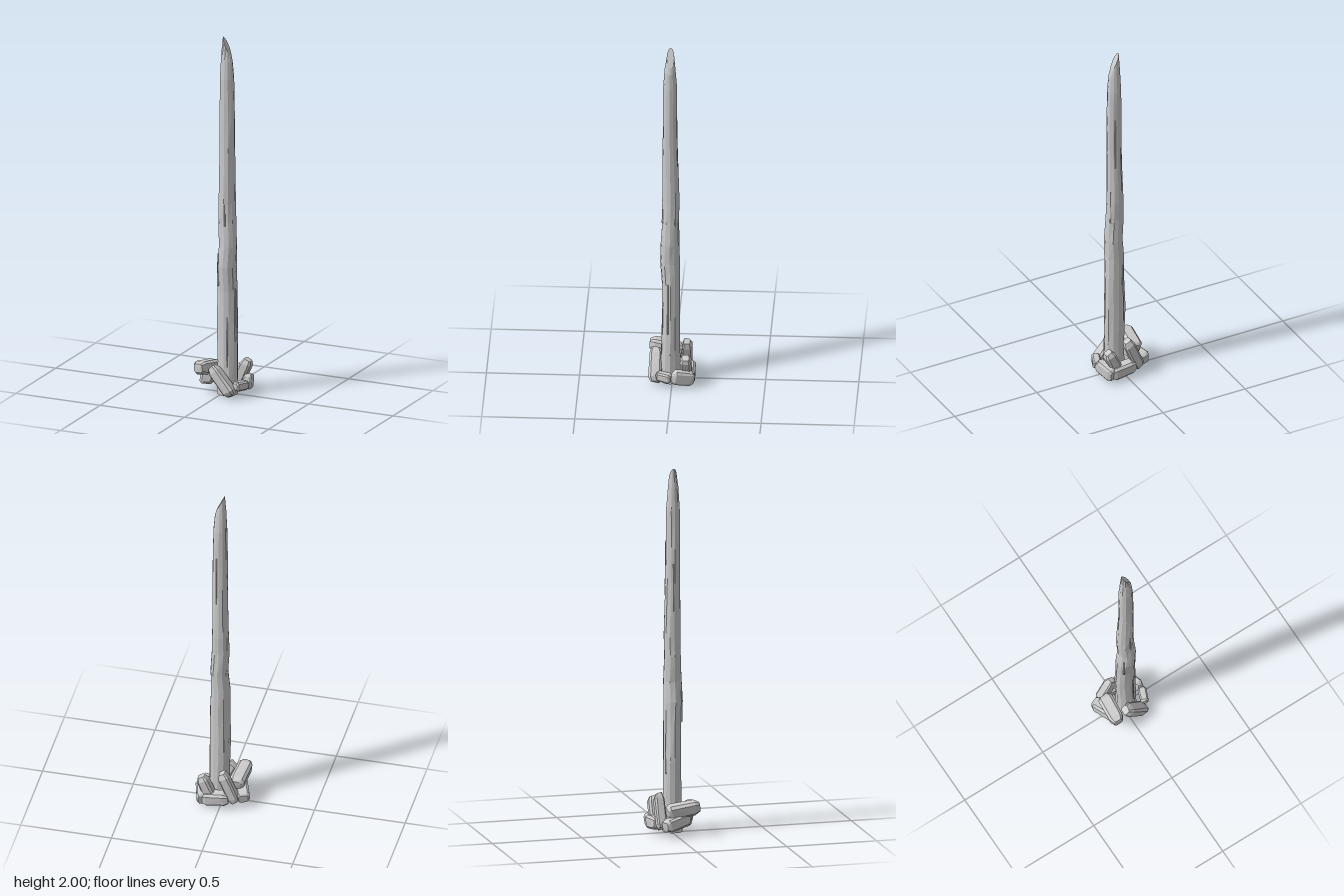
import * as THREE from 'three';
import { ConvexGeometry } from 'three/addons/geometries/ConvexGeometry.js';

const material = new THREE.MeshStandardMaterial({ color: 0xcccccc, flatShading: true });

function seeded(seed) {
  let s = seed * 7919 + 17;
  return () => (s = (s * 16807) % 2147483647) / 2147483647;
}

// Post rings: y, xMin, xMax, zMin, zMax, drop of the +x side (slanted cut)
const RINGS = [
  [0.0, -0.034, 0.082, -0.044, 0.067, 0],
  [0.18, -0.033, 0.082, -0.043, 0.062, 0],
  [0.4, -0.04, 0.08, -0.042, 0.056, 0],
  [0.58, -0.034, 0.078, -0.041, 0.058, 0],
  [0.72, -0.034, 0.074, -0.042, 0.069, 0],
  [0.83, -0.022, 0.077, -0.04, 0.064, 0],
  [0.97, -0.03, 0.07, -0.037, 0.055, 0],
  [1.08, -0.026, 0.066, -0.04, 0.055, 0],
  [1.38, -0.019, 0.066, -0.03, 0.054, 0],
  [1.55, -0.021, 0.066, -0.026, 0.052, 0],
  [1.77, -0.017, 0.061, -0.026, 0.052, 0],
  [1.91, -0.01, 0.053, -0.016, 0.042, 0.05],
  [2.0, -0.003, 0.044, -0.01, 0.031, 0.1],
];

// Weathered post lofted through irregular rings, with a slanted pointed top
function postGeometry(sides = 12) {
  const rnd = seeded(5), pos = [], index = [];
  RINGS.forEach(([y, x0, x1, z0, z1, drop], r) => {
    for (let i = 0; i < sides; i++) {
      const a = (i / sides) * Math.PI * 2;
      const k = r < RINGS.length - 2 ? 1 - 0.05 * rnd() : 1;
      const c = Math.cos(a), s = Math.sin(a);
      pos.push((x0 + x1) / 2 + c * k * (x1 - x0) / 2,
        y - drop * (1 + c) / 2,
        (z0 + z1) / 2 + s * k * (z1 - z0) / 2);
    }
  });
  for (let r = 0; r < RINGS.length - 1; r++) {
    for (let i = 0; i < sides; i++) {
      const a = r * sides + i, b = r * sides + (i + 1) % sides;
      index.push(a, a + sides, b, b, a + sides, b + sides);
    }
  }
  const top = (RINGS.length - 1) * sides;
  for (let i = 1; i < sides - 1; i++) {
    index.push(0, i, i + 1, top, top + i + 1, top + i);
  }
  const g = new THREE.BufferGeometry();
  g.setAttribute('position', new THREE.Float32BufferAttribute(pos, 3));
  g.setIndex(index);
  g.computeVertexNormals();
  return g;
}

// Chipped stone: octagonal block, long along y, with narrowed uneven ends
function rockGeometry(w, h, d, seed) {
  const rnd = seeded(seed), pts = [];
  for (const [t, k] of [[-0.5, 0.68], [-0.36, 1], [0.34, 0.96], [0.5, 0.62]]) {
    for (const [cx, cz] of [[-1, -1], [-1, 1], [1, -1], [1, 1]]) {
      const j = 0.86 + 0.14 * rnd();
      const y = (t + (rnd() - 0.5) * 0.07) * h;
      pts.push(new THREE.Vector3(cx * k * j * w / 2, y, cz * k * 0.62 * d / 2));
      pts.push(new THREE.Vector3(cx * k * 0.62 * w / 2, y, cz * k * j * d / 2));
    }
  }
  return new ConvexGeometry(pts);
}

// Stones around the foot: name, size, position, rotation
const ROCKS = [
  ['frontLeaningRock', [0.07, 0.19, 0.075], [0.027, 0.092, 0.09], [0, 0, 0.69]],
  ['rightUpperRock', [0.085, 0.175, 0.08], [-0.086, 0.14, 0.038], [1.38, 0.1, 0.12]],
  ['rightLowerRock', [0.08, 0.155, 0.075], [-0.098, 0.075, 0.002], [1.35, 0, -0.35]],
  ['leftSmallRock', [0.05, 0.085, 0.055], [0.115, 0.062, 0.042], [1.5, 0, 0.38]],
  ['leftBackRock', [0.055, 0.12, 0.085], [0.113, 0.06, -0.058], [1.35, 0, -0.28]],
  ['backLowerRock', [0.08, 0.14, 0.075], [0.025, 0.055, -0.09], [0, 0, 1.45]],
  ['backLeftLeaningRock', [0.065, 0.155, 0.065], [0.075, 0.105, -0.075], [0, 0, -0.42]],
  ['backRightLeaningRock', [0.065, 0.19, 0.06], [-0.045, 0.13, -0.077], [0, 0, -0.4]],
];

// Raised splinters on the post: angle, height, length
const SPLINTERS = [
  [0.3, 0.45, 0.3], [1.45, 1.02, 0.14], [2.3, 0.7, 0.18], [3.3, 1.35, 0.26],
  [4.2, 0.5, 0.35], [5.0, 1.45, 0.3], [5.7, 1.05, 0.2], [1.2, 0.3, 0.28],
];

export function createModel() {
  const model = new THREE.Group();

  const post = new THREE.Mesh(postGeometry(), material);
  post.name = 'post';
  model.add(post);

  const splinters = new THREE.Group();
  splinters.name = 'splinters';
  for (const [a, y, length] of SPLINTERS) {
    const i = RINGS.findIndex((r) => r[0] > y);
    const [p, q] = [RINGS[i - 1], RINGS[i]];
    const t = (y - p[0]) / (q[0] - p[0]);
    const [, x0, x1, z0, z1] = p.map((v, n) => v + (q[n] - v) * t);
    const m = new THREE.Mesh(new THREE.CylinderGeometry(0.002, 0.006, length, 4), material);
    m.position.set((x0 + x1) / 2 + Math.cos(a) * (x1 - x0) * 0.47, y,
      (z0 + z1) / 2 + Math.sin(a) * (z1 - z0) * 0.47);
    m.rotation.y = -a;
    m.name = 'splinter';
    splinters.add(m);
  }
  model.add(splinters);

  const rocks = new THREE.Group();
  rocks.name = 'rocks';
  ROCKS.forEach(([name, size, position, rotation], i) => {
    const rock = new THREE.Mesh(rockGeometry(...size, i + 3), material);
    rock.name = name;
    rock.position.set(...position);
    rock.rotation.set(...rotation);
    rocks.add(rock);
  });
  model.add(rocks);

  return model;
}
